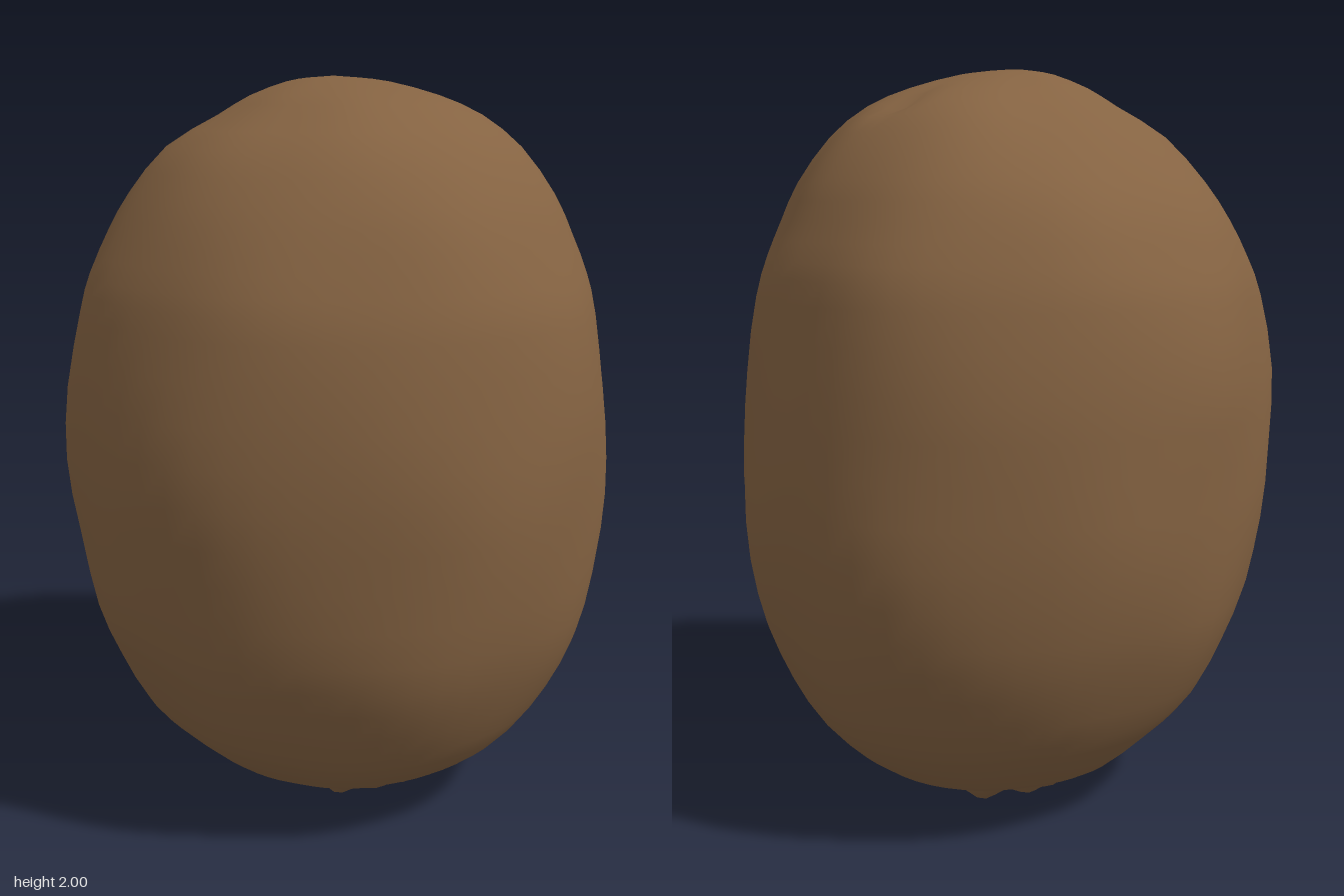
import * as THREE from 'three';

// Each row: height, then radius towards front, left (+x), back and right (-x)
const ROWS = [
  [1.995, 0.07, 0.03, 0.07, 0.09],
  [1.985, 0.16, 0.12, 0.12, 0.15],
  [1.95, 0.31, 0.25, 0.20, 0.25],
  [1.90, 0.41, 0.38, 0.28, 0.34],
  [1.82, 0.52, 0.48, 0.41, 0.48],
  [1.70, 0.61, 0.57, 0.55, 0.58],
  [1.60, 0.66, 0.62, 0.63, 0.64],
  [1.50, 0.70, 0.67, 0.68, 0.69],
  [1.40, 0.73, 0.70, 0.72, 0.72],
  [1.20, 0.755, 0.735, 0.755, 0.76],
  [1.00, 0.76, 0.755, 0.75, 0.768],
  [0.80, 0.74, 0.765, 0.74, 0.745],
  [0.60, 0.71, 0.735, 0.705, 0.71],
  [0.45, 0.66, 0.69, 0.65, 0.65],
  [0.30, 0.58, 0.62, 0.57, 0.57],
  [0.20, 0.50, 0.54, 0.48, 0.48],
  [0.11, 0.38, 0.43, 0.38, 0.37],
  [0.06, 0.29, 0.31, 0.29, 0.28],
];
// Slight lopsidedness around the girth, every 30 degrees from the front
const GIRTH = [1, 1, 0.965, 1, 1.04, 1.02, 1, 0.97, 0.97, 1, 1, 0.98];
const COLS = 60;

const wobble = (a, y) =>
  0.004 * Math.sin(5 * a + 4 * y) * Math.sin(6 * y + 2 * a) + 0.003 * Math.sin(9 * a - 7 * y);

function radiusAt(row, a) {
  const q = (a / (Math.PI / 2)) % 4, i = Math.floor(q);
  const t = Math.sin((q - i) * Math.PI / 2) ** 2;
  const r = THREE.MathUtils.lerp(row[1 + i], row[1 + (i + 1) % 4], t);
  const g = (a / (Math.PI / 6)) % 12, k = Math.floor(g);
  return r * THREE.MathUtils.lerp(GIRTH[k], GIRTH[(k + 1) % 12], THREE.MathUtils.smoothstep(g - k, 0, 1));
}

// Skin through rings listed from top (or outside) to bottom (or centre)
function skin(rings, startPole, endPole) {
  const pos = [], index = [];
  rings.forEach(ring => ring.forEach(p => pos.push(...p)));
  for (let i = 0; i < rings.length - 1; i++) {
    for (let j = 0; j < COLS; j++) {
      const n = (j + 1) % COLS;
      const a = i * COLS + j, b = a + COLS, d = i * COLS + n, c = d + COLS;
      index.push(a, b, d, b, c, d);
    }
  }
  const cap = (point, ringIndex, top) => {
    const pole = pos.length / 3;
    pos.push(...point);
    for (let j = 0; j < COLS; j++) {
      const a = ringIndex * COLS + j, d = ringIndex * COLS + (j + 1) % COLS;
      index.push(...(top ? [pole, a, d] : [a, pole, d]));
    }
  };
  if (startPole) cap(startPole, 0, true);
  if (endPole) cap(endPole, rings.length - 1, false);
  const geo = new THREE.BufferGeometry();
  geo.setAttribute('position', new THREE.Float32BufferAttribute(pos, 3));
  geo.setIndex(index);
  geo.computeVertexNormals();
  return geo;
}

const makeRing = place => Array.from({ length: COLS }, (_, j) => place(j / COLS * Math.PI * 2));

export function createModel() {
  const group = new THREE.Group();
  group.name = 'kiwiFruit';
  const brown = new THREE.MeshStandardMaterial({ color: 0x856342 });
  brown.name = 'brown skin';

  // Body, with rows subdivided smoothly and a small dent near the top
  const STEPS = 2, bodyRings = [];
  const columns = [0, 1, 2, 3, 4].map(k =>
    new THREE.CatmullRomCurve3(ROWS.map((r, i) => new THREE.Vector3(i, r[k], 0)), false, 'catmullrom', 0.5));
  const count = (ROWS.length - 1) * STEPS;
  for (let s = 0; s <= count; s++) {
    const row = columns.map(c => c.getPoint(s / count).y);
    bodyRings.push(makeRing(a => {
      const r = radiusAt(row, a) + wobble(a, row[0]) * Math.min(1, row[1] * 2);
      const x = r * Math.sin(a), z = r * Math.cos(a);
      const dent = row[0] > 1.5 ? 0.03 * Math.exp(-((x - 0.37) ** 2 + (z + 0.04) ** 2) / 0.0025) : 0;
      return [x, row[0] - dent, z];
    }));
  }
  const body = new THREE.Mesh(skin(bodyRings, [-0.02, 2, 0], null), brown);
  body.name = 'body';

  // Ragged lip around the sunken scar underneath
  const lip = [[0.06, 0], [0.05, 0.25], [0.018, 0.225], [0.014, 0.19], [0.045, 0.165], [0.055, 0.09]];
  const scarRings = lip.map(([y, r], i) => i === 0 ? bodyRings[count] : makeRing(a => {
    const rag = 1 + 0.05 * Math.sin(3 * a + 1) + 0.03 * Math.sin(11 * a + i);
    const drop = 0.008 * Math.sin(7 * a + i) + 0.005 * Math.sin(13 * a);
    return [r * rag * Math.sin(a) + 0.02, Math.max(0, y + drop), r * rag * Math.cos(a)];
  }));
  const scar = new THREE.Mesh(skin(scarRings, null, [0.02, 0.05, 0]), brown);
  scar.name = 'bottomScar';

  group.add(body, scar);
  return group;
}
